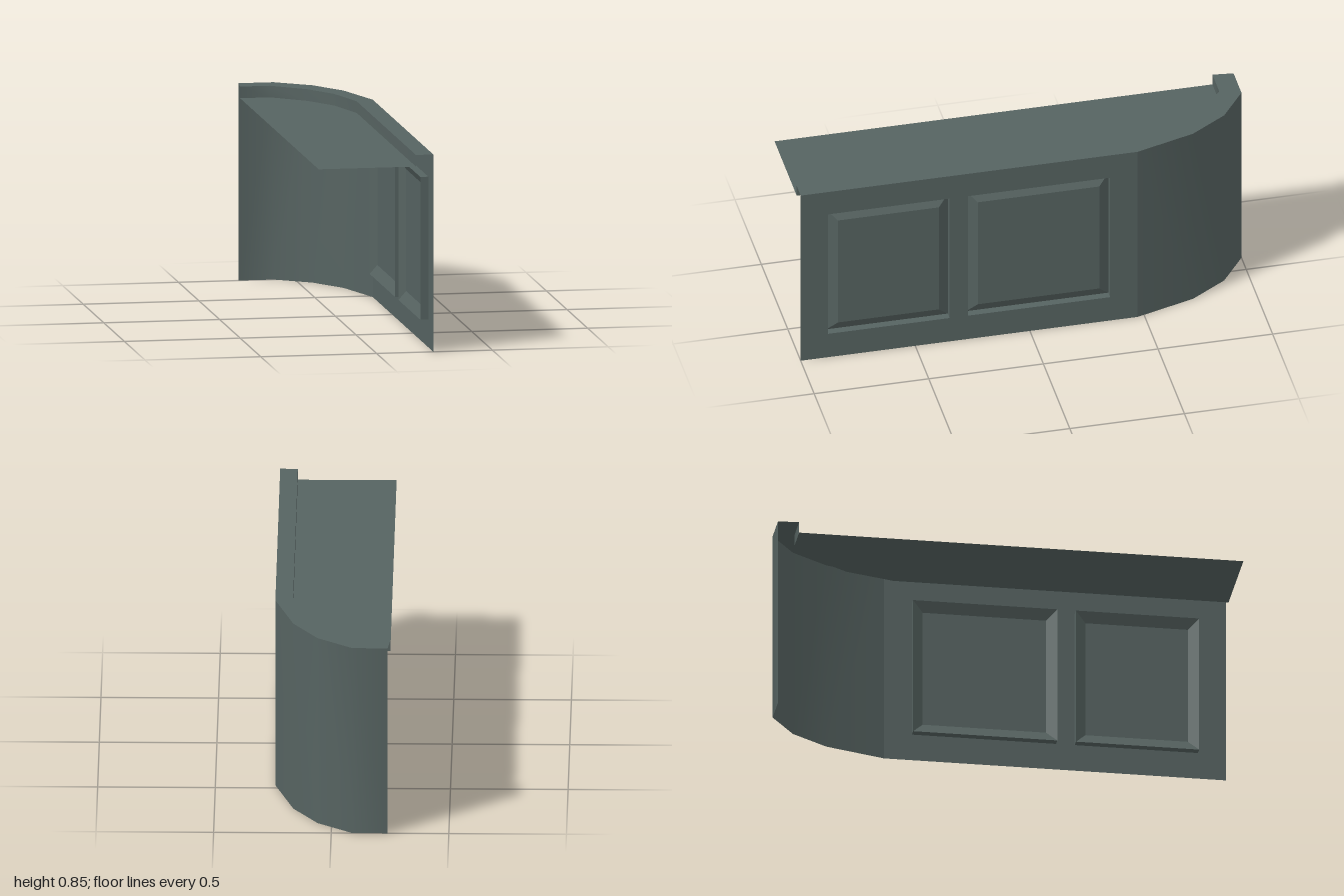
import * as THREE from 'three';

const paint = new THREE.MeshStandardMaterial({ color: 0x566361, side: THREE.DoubleSide });
paint.name = 'dark grey green';

// Surface lofted between rows of points that all have the same length
function loft(rows, smooth) {
  const n = rows[0].length, index = [];
  for (let r = 0; r < rows.length - 1; r++) {
    for (let i = 0; i < n - 1; i++) {
      const a = r * n + i, b = a + n;
      index.push(a, a + 1, b, a + 1, b + 1, b);
    }
  }
  let geo = new THREE.BufferGeometry();
  geo.setAttribute('position', new THREE.Float32BufferAttribute(rows.flat(2), 3));
  geo.setIndex(index);
  if (!smooth) geo = geo.toNonIndexed();
  geo.computeVertexNormals();
  return geo;
}

// Closed rectangle in the side wall at depth x, inset by d
function windowRing(x, [front, back], d = 0) {
  const f = front - d, b = back + d, y0 = BOTTOM + d, y1 = TOP - d;
  return [[x, y0, f], [x, y0, b], [x, y1, b], [x, y1, f], [x, y0, f]];
}

const H = 0.85, ROOF = 0.8, WALL = 0.245, BOTTOM = 0.12, TOP = 0.735;
const windows = [[0.88, 0.35], [0.27, -0.35]];
// Plan outlines as [x, z], front to back
const outer = [[WALL, 1], [WALL, -0.47], [0.165, -0.73], [0.06, -0.89], [-0.09, -1], [-0.24, -1]];
const inner = [[0.17, 1], [0.17, -0.44], [0.11, -0.65], [0.02, -0.79], [-0.12, -0.91], [-0.25, -0.91]];
const at = (plan, y) => plan.map(([x, z]) => [x, y, z]);

export function createModel() {
  const model = new THREE.Group();
  const add = (name, geo) => {
    const mesh = new THREE.Mesh(geo, paint);
    mesh.name = name;
    model.add(mesh);
  };

  // Straight side wall with two window openings
  const rect = (Type, z0, z1, y0, y1) =>
    new Type([[z0, y0], [z1, y0], [z1, y1], [z0, y1]].map(([z, y]) => new THREE.Vector2(-z, y)));
  const wall = rect(THREE.Shape, 1, -0.47, 0, H);
  for (const [f, b] of windows) wall.holes.push(rect(THREE.Path, f, b, BOTTOM, TOP));
  add('sideWall', new THREE.ShapeGeometry(wall).rotateY(Math.PI / 2).translate(WALL, 0, 0));

  // Wall sweeping round to the back
  const curve = outer.slice(1);
  add('curvedBackWall', loft([at(curve, 0), at(curve, H)], true));

  // Raised rim around the roof
  add('rimTop', loft([at(outer, H), at(inner, H)], true));
  add('rimInside', loft([at(inner, H), at(inner, ROOF)], true));

  // Sunken roof panel
  const roof = new THREE.Shape([...inner, [-0.25, 1]].map(([x, z]) => new THREE.Vector2(x, -z)));
  add('roofPanel', new THREE.ShapeGeometry(roof).rotateX(-Math.PI / 2).translate(0, ROOF, 0));

  // Recessed windows with slightly raised panes
  for (const span of windows) {
    add('windowReveal', loft([windowRing(WALL, span), windowRing(0.21, span)], false));
    add('paneBevel', loft([windowRing(0.21, span), windowRing(0.235, span, 0.045)], false));
    const [f, b] = span;
    const pane = new THREE.PlaneGeometry(f - b - 0.09, TOP - BOTTOM - 0.09).rotateY(Math.PI / 2);
    add('windowPane', pane.translate(0.235, (TOP + BOTTOM) / 2, (f + b) / 2));
  }
  return model;
}
